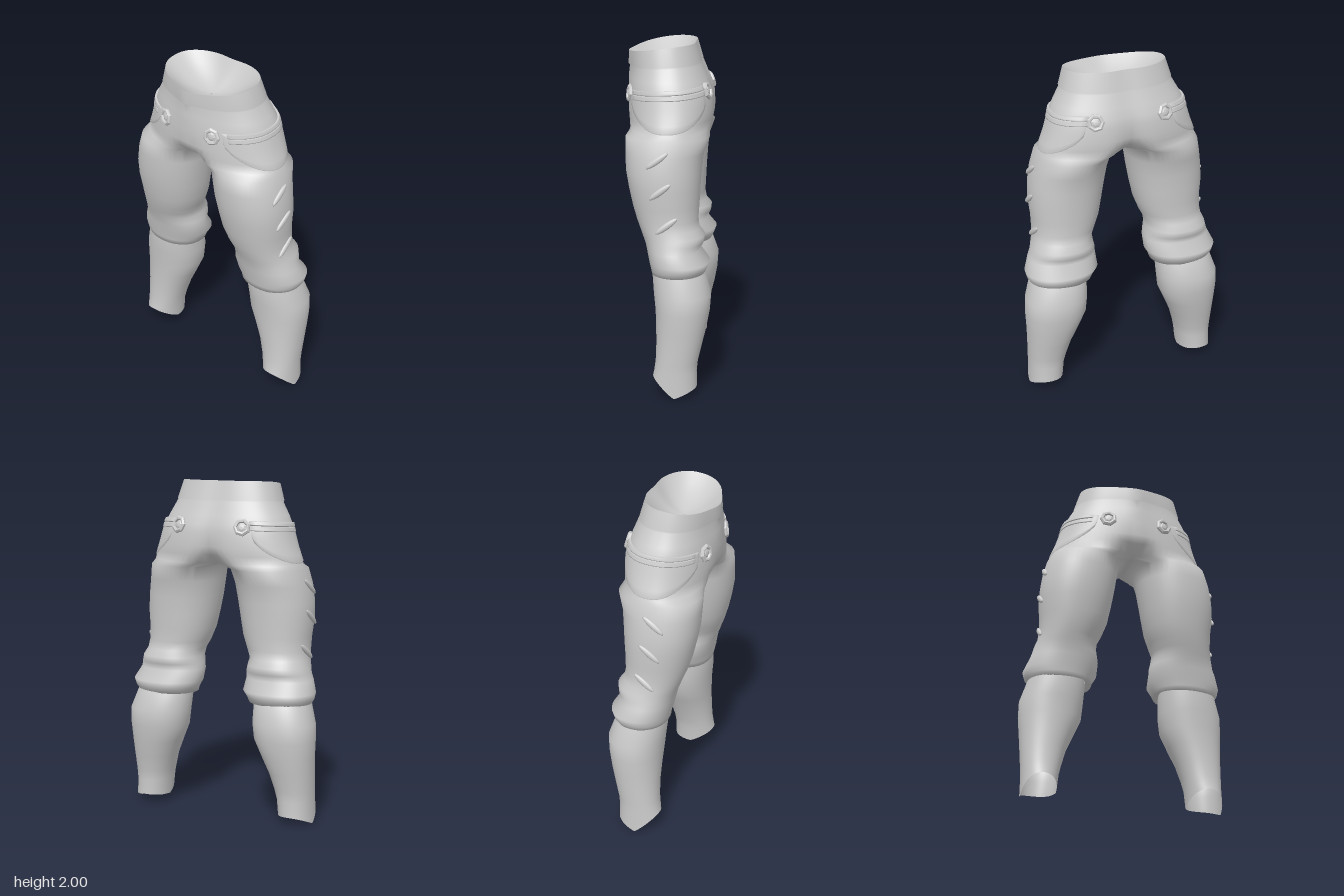
import * as THREE from 'three';

const SEG = 48;
const material = new THREE.MeshStandardMaterial({ color: 0xcccccc, side: THREE.DoubleSide });

// Cross-sections: y, inner x, outer x, front z, back z, front dip, front tuck, back tuck.
// Inner x of 0 marks a half section that meets its mirror twin on x = 0.
const trouserRows = [
  [2, 0, .303, .235, -.157, .05, -.1, .08], [1.89, 0, .335, .238, -.188, .02, -.09, .06],
  [1.88, 0, .332, .232, -.19, .02, -.08, .06], [1.8, 0, .375, .242, -.222, 0, -.06, .06],
  [1.75, 0, .40, .246, -.243, 0, -.04, .07], [1.7, 0, .415, .252, -.256, 0, -.02, .08],
  [1.62, 0, .44, .252, -.26, 0, 0, .1], [1.57, 0, .46, .249, -.257, 0, .06, .18],
  [1.518, 0, .48, .246, -.248, 0, .4, .45],
  [1.49, .055, .495, .245, -.24], [1.4, .072, .52, .244, -.208], [1.3, .088, .535, .24, -.197],
  [1.2, .105, .54, .222, -.19], [1.1, .125, .53, .20, -.185], [1.02, .155, .53, .175, -.18],
  [.97, .18, .535, .155, -.188], [.93, .18, .55, .14, -.22], [.89, .17, .56, .125, -.215],
  [.85, .165, .575, .115, -.195], [.78, .165, .605, .10, -.25], [.74, .19, .595, .09, -.235],
  [.71, .20, .575, .085, -.22], [.73, .235, .56, .07, -.20],
];
const shinRows = [
  [.8, .245, .56, .07, -.18], [.71, .235, .58, .08, -.225], [.6, .24, .616, .07, -.262],
  [.5, .25, .619, .06, -.255], [.4, .295, .612, .055, -.237], [.3, .34, .607, .053, -.213],
  [.2, .37, .603, .056, -.19], [.14, .385, .6, .064, -.184], ['hem', .395, .602, .07, -.186],
];

const pow = (v, e) => Math.sign(v) * Math.abs(v) ** e;

// Hem height round the ankle: high in front, lowest on the outside
function hemHeight(s, c) {
  const side = .02 - .02 * s;
  return side + ((c > 0 ? .112 : .05) - side) * Math.abs(c);
}

// Point on a cross-section; u runs from the front, round the outside, to the back and inside
function ringPoint([y, xin, xout, zf, zb, dip = 0, frontTuck = 0, backTuck = 0], u) {
  const zc = (zf + zb) / 2, rz = (zf - zb) / 2, e = .93;
  if (xin > 0) {
    const a = -Math.PI / 4 + u * Math.PI * 2, s = Math.sin(a), c = Math.cos(a);
    const h = y === 'hem' ? hemHeight(s, c) : y;
    return new THREE.Vector3((xin + xout) / 2 + (xout - xin) / 2 * pow(s, e), h, zc + rz * pow(c, e));
  }
  const inner = u > .75;
  const a = Math.min(u / .75, 1) * Math.PI;
  const x = inner || a > Math.PI - 1e-6 ? 0 : xout * pow(Math.sin(a), e);
  let c = inner ? -1 + (u - .75) * 8 : pow(Math.cos(a), c0(a));
  c *= 1 - (c > 0 ? frontTuck : backTuck) * Math.exp(-((x / .09) ** 2));
  return new THREE.Vector3(x, y - dip * ((1 + c) / 2) ** 2, zc + rz * c);
}
// Hips are rounder in front and squarer behind
function c0(a) {
  return a < Math.PI / 2 ? .95 : .8;
}

// Grid of points to smooth geometry, leaving out cells that lie on the centre plane
function gridGeometry(rows, closed) {
  const w = rows[0].length, pos = rows.flat().flatMap(p => [p.x, p.y, p.z]), index = [];
  for (let r = 0; r < rows.length - 1; r++) {
    for (let k = 0; k < (closed ? w : w - 1); k++) {
      const n = (k + 1) % w, a = r * w + k, b = r * w + n, c = a + w, d = b + w;
      if ([a, b, c, d].every(i => Math.abs(pos[i * 3]) < 1e-4)) continue;
      index.push(a, c, b, b, c, d);
    }
  }
  const g = new THREE.BufferGeometry();
  g.setAttribute('position', new THREE.Float32BufferAttribute(pos, 3));
  g.setIndex(index);
  g.computeVertexNormals();
  // Smooth shading across the centre seam
  const N = g.attributes.normal, v = new THREE.Vector3();
  for (let i = 0; i < N.count; i++) {
    if (Math.abs(pos[i * 3]) > 1e-4) continue;
    v.fromBufferAttribute(N, i).setX(0).normalize();
    N.setXYZ(i, v.x, v.y, v.z);
  }
  return g;
}

const ring = row => Array.from({ length: SEG }, (_, k) => ringPoint(row, k / SEG));
const loft = rows => gridGeometry(rows.map(ring), true);

// Half of the shallow bowl that closes the waist
function waistBowl() {
  const rim = ring(trouserRows[0]).slice(0, SEG * .75 + 1);
  const rows = [.02, .2, .4, .6, .8, .98, 1].map(t => rim.map(p => new THREE.Vector3(
    p.x * t, p.y * t * t + 1.97 * (1 - t * t) - .12 * (1 - t * t), .04 + (p.z - .04) * t)));
  return gridGeometry(rows, false);
}

// Point and outward normal on the trouser surface at a given height
function surface(u, y) {
  let i = 0;
  while (i < trouserRows.length - 2 && trouserRows[i + 1][0] > y) i++;
  const [a, b] = [trouserRows[i], trouserRows[i + 1]];
  return ringPoint(a, u).lerp(ringPoint(b, u), (a[0] - y) / (a[0] - b[0]));
}
function outward(u, y) {
  const du = surface(u + .01, y).sub(surface(u - .01, y));
  const dy = surface(u, y + .02).sub(surface(u, y - .02));
  const n = dy.cross(du).normalize(), p = surface(u, y);
  return n.x * p.x + n.z * p.z < 0 ? n.negate() : n;
}

// Raised cloth panel that follows the surface, its edges tucked in
function panel(u0, u1, top, bottom, lift) {
  const cols = 28, steps = [0, .04, .2, .4, .6, .8, .96, 1];
  const rows = steps.map(t => Array.from({ length: cols + 1 }, (_, k) => {
    const f = k / cols, u = u0 + (u1 - u0) * f;
    const y = top(f) + (bottom(f) - top(f)) * t;
    const edge = t === 0 || t === 1 || k === 0 || k === cols;
    return surface(u, y).addScaledVector(outward(u, y), edge ? -.004 : lift);
  }));
  return gridGeometry(rows, false);
}

// Faceted button with a raised rim and a domed middle
function button(u, y) {
  const profile = [[0, .012], [.016, .01], [.028, .004], [.032, .014], [.042, .016], [.052, .008], [.052, -.02]]
    .map(p => new THREE.Vector2(...p));
  const g = new THREE.LatheGeometry(profile, 7).toNonIndexed();
  g.computeVertexNormals();
  const n = outward(u, y), p = surface(u, y);
  g.applyQuaternion(new THREE.Quaternion().setFromUnitVectors(new THREE.Vector3(0, 1, 0), n));
  return g.translate(p.x, p.y, p.z);
}

// Slanted padded slash on the outer thigh
function slash(u, y) {
  const n = outward(u, y);
  const along = new THREE.Vector3(0, .6, -.8).projectOnPlane(n).normalize();
  const g = new THREE.SphereGeometry(1, 16, 10).scale(.076, .018, .013);
  const m = new THREE.Matrix4().makeBasis(along, n.clone().cross(along), n).setPosition(surface(u, y));
  return g.applyMatrix4(m);
}

// Mirrored copy across x = 0 with corrected face order
function mirror(geometry) {
  const g = geometry.clone().scale(-1, 1, 1);
  if (!g.index) g.setIndex(Array.from({ length: g.attributes.position.count }, (_, i) => i));
  const a = g.index.array;
  for (let i = 0; i < a.length; i += 3) [a[i], a[i + 1]] = [a[i + 1], a[i]];
  return g;
}

export function createModel() {
  const group = new THREE.Group();
  group.name = 'trousers';
  const addPair = (name, geometry) => {
    [['left', geometry], ['right', mirror(geometry)]].forEach(([side, g]) => {
      const mesh = new THREE.Mesh(g, material);
      mesh.name = side + name;
      group.add(mesh);
    });
  };

  // Hips, thigh and rolled knee cuff, the closed waist, then the lower leg
  addPair('TrouserHalf', loft(trouserRows));
  addPair('WaistLining', waistBowl());
  addPair('LowerLeg', loft(shinRows));

  // Rounded hip pocket and the double band over it
  addPair('Pocket', panel(.13, .6, f => 1.745 + .02 * f,
    f => 1.735 - .212 * Math.sqrt(Math.max(0, 1 - (2 * f - 1) ** 2)), .005));
  addPair('UpperPocketBand', panel(.15, .6, f => 1.745 + .03 * f, f => 1.72 + .03 * f, .011));
  addPair('LowerPocketBand', panel(.15, .6, f => 1.718 + .03 * f, f => 1.69 + .03 * f, .009));

  // Buttons at front and back
  addPair('FrontButton', button(.098, 1.715));
  addPair('BackButton', button(.625, 1.74));

  // Slashes down the outside of the thigh
  [[.36, 1.39], [.37, 1.215], [.38, 1.015]].forEach(([u, y], i) => addPair('Slash' + (i + 1), slash(u, y)));
  return group;
}
